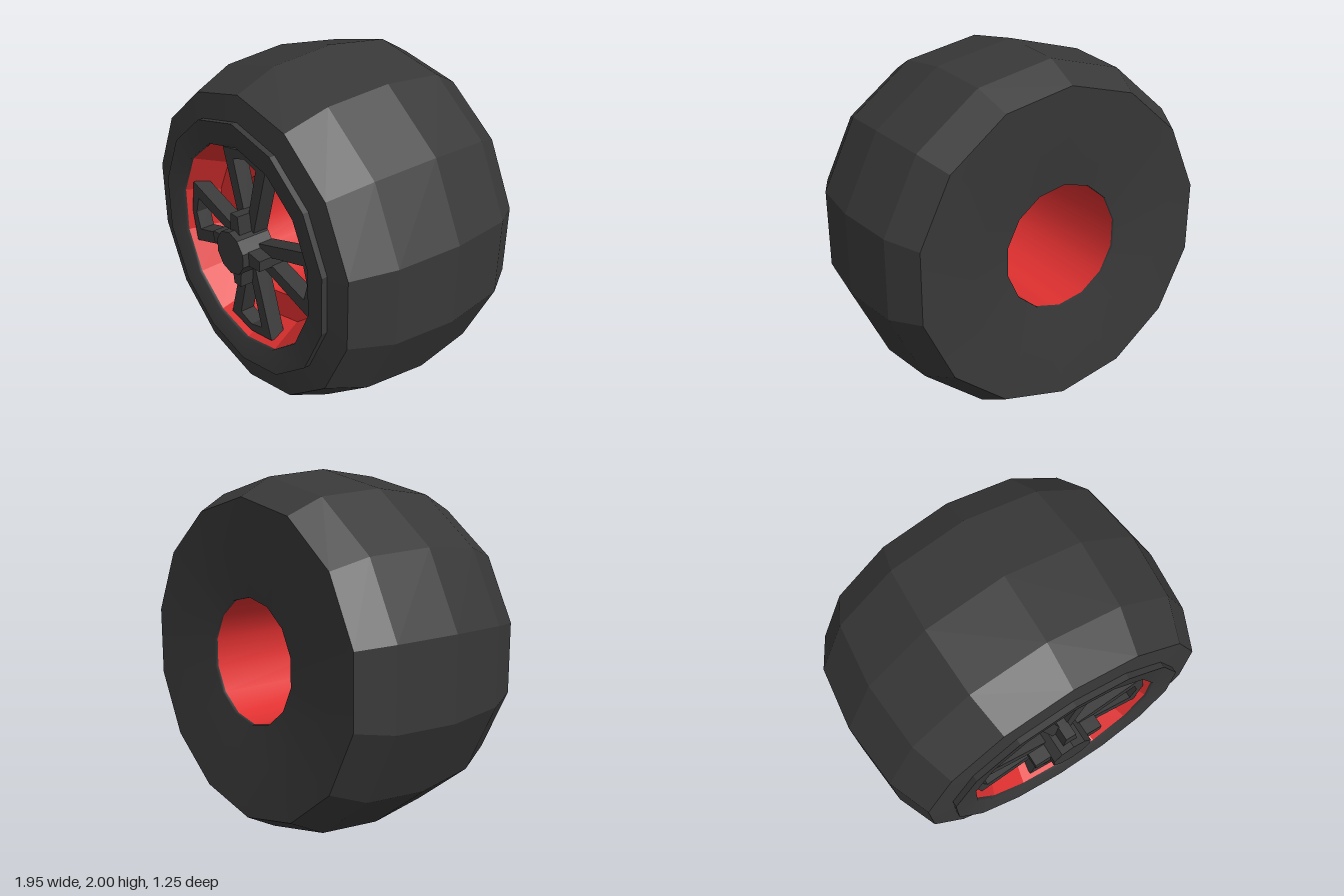
import * as THREE from 'three';

const SIDES = 14;

function material(color, flatShading) {
  return new THREE.MeshStandardMaterial({ color, flatShading, side: THREE.DoubleSide });
}

// Revolves a [radius, z] profile about the wheel axis
function revolve(name, profile, mat) {
  const geometry = new THREE.LatheGeometry(profile.map(([r, z]) => new THREE.Vector2(r, z)), SIDES);
  geometry.rotateX(Math.PI / 2);
  const mesh = new THREE.Mesh(geometry, mat);
  mesh.name = name;
  return mesh;
}

// Extrudes an outline, with an optional hole, from z0 to z1
function plate(name, outline, hole, z0, z1, mat) {
  const points = (list) => list.map(([x, y]) => new THREE.Vector2(x, y));
  const shape = new THREE.Shape(points(outline));
  if (hole) shape.holes.push(new THREE.Path(points(hole)));
  const geometry = new THREE.ExtrudeGeometry(shape, { depth: z1 - z0, bevelEnabled: false });
  geometry.translate(0, 0, z0);
  const mesh = new THREE.Mesh(geometry, mat);
  mesh.name = name;
  return mesh;
}

export function createModel() {
  const wheel = new THREE.Group();
  wheel.name = 'wheel';
  const rubber = material(0x383838, false);
  const rubberFlat = material(0x383838, true);
  const red = material(0xe03030, false);
  const redFlat = material(0xe03030, true);

  // Tyre: faceted tread, smooth side walls and raised front lip
  wheel.add(
    revolve('tread', [[0.86, -0.62], [0.96, -0.44], [1, -0.07], [0.96, 0.3], [0.86, 0.53]], rubberFlat),
    revolve('backWall', [[0.345, -0.56], [0.345, -0.58], [0.86, -0.62]], rubber),
    revolve('frontWall', [[0.86, 0.53], [0.72, 0.542]], rubber),
    revolve('lipEdge', [[0.72, 0.542], [0.72, 0.575]], rubberFlat),
    revolve('frontLip', [[0.72, 0.575], [0.585, 0.555], [0.585, 0.535]], rubber)
  );

  // Rim: tapered dish, flat ring and the bore through to the back
  wheel.add(
    revolve('rimDish', [[0.585, 0.535], [0.5, 0.35]], redFlat),
    revolve('rimRing', [[0.5, 0.35], [0.345, 0.35]], redFlat),
    revolve('bore', [[0.345, 0.35], [0.345, -0.56]], red)
  );

  // Four open spokes, each with a tapered block at its root
  for (let i = 0; i < 4; i++) {
    const spoke = new THREE.Group();
    spoke.name = 'spoke' + (i + 1);
    spoke.rotation.z = (i * Math.PI) / 2;
    spoke.add(
      plate('spokeFrame',
        [[-0.05, 0.07], [0.05, 0.07], [0.19, 0.52], [0, 0.555], [-0.19, 0.52]],
        [[0, 0.13], [0.1, 0.48], [0, 0.51], [-0.1, 0.48]], 0.42, 0.51, rubberFlat),
      plate('spokeRoot',
        [[-0.05, 0.05], [0.05, 0.05], [0.03, 0.215], [-0.03, 0.215]], null, 0.43, 0.588, rubberFlat)
    );
    wheel.add(spoke);
  }

  // Hub cap
  const cap = new THREE.Mesh(new THREE.CylinderGeometry(0.125, 0.125, 0.2, 10), rubberFlat);
  cap.name = 'hubCap';
  cap.rotation.x = Math.PI / 2;
  cap.position.z = 0.525;
  wheel.add(cap);

  wheel.position.y = 1;
  const model = new THREE.Group();
  model.name = 'model';
  model.add(wheel);
  return model;
}
